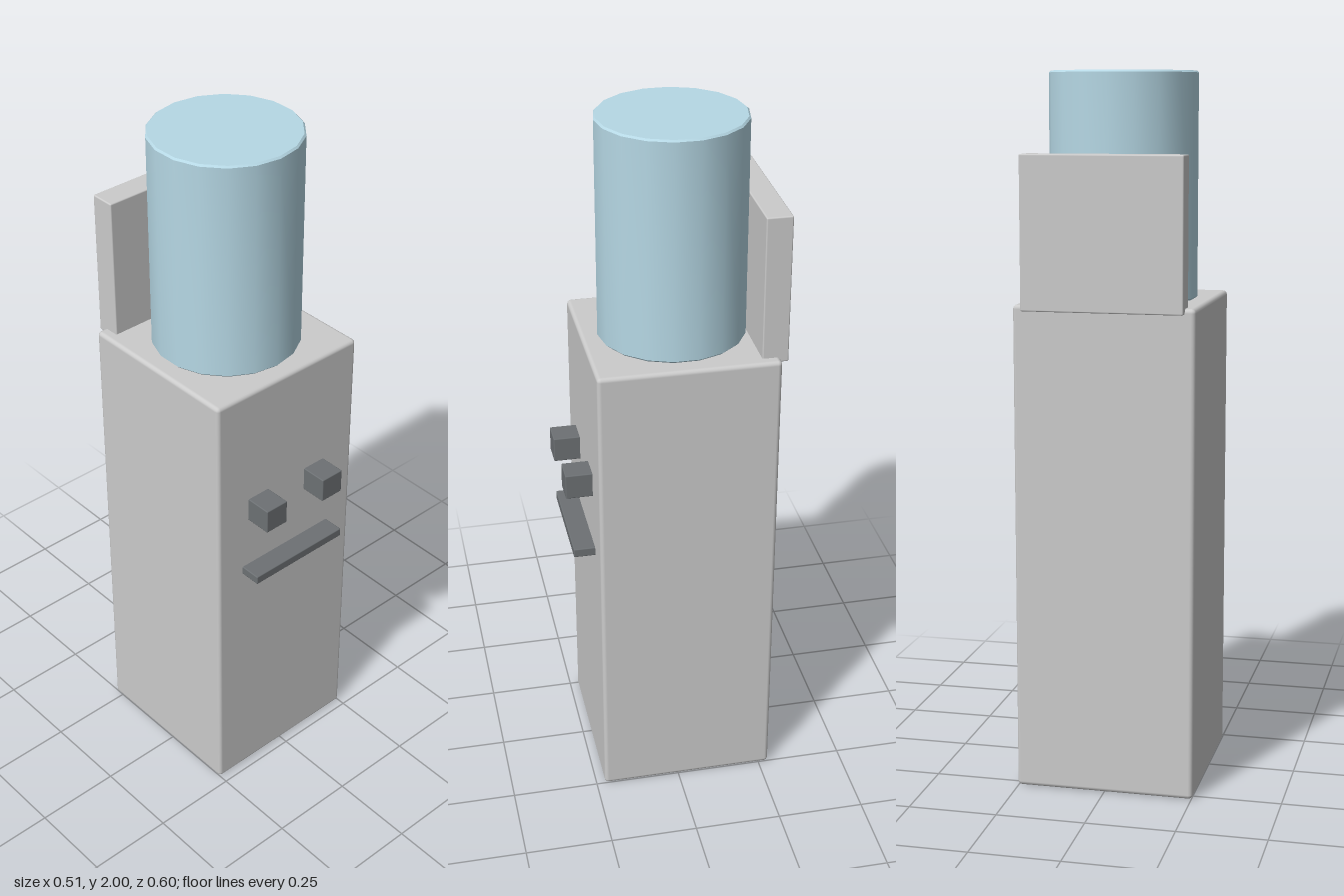
import * as THREE from 'three';
import { RoundedBoxGeometry } from 'three/addons/geometries/RoundedBoxGeometry.js';
import { toCreasedNormals } from 'three/addons/utils/BufferGeometryUtils.js';

const grey = new THREE.MeshStandardMaterial({ color: 0xcccccc });
const blue = new THREE.MeshStandardMaterial({ color: 0xb6d8e5 });
const dark = new THREE.MeshStandardMaterial({ color: 0x6d7174 });

// Box with softened edges, given by its extents on each axis
function softBox(name, [x0, x1], [y0, y1], [z0, z1], bevel, material) {
  const geometry = new RoundedBoxGeometry(x1 - x0, y1 - y0, z1 - z0, 2, bevel);
  const mesh = new THREE.Mesh(geometry, material);
  mesh.position.set((x0 + x1) / 2, (y0 + y1) / 2, (z0 + z1) / 2);
  mesh.name = name;
  return mesh;
}

export function createModel() {
  const model = new THREE.Group();
  model.name = 'blockFigure';

  // Tall body and the upright plate behind the cylinder
  model.add(softBox('body', [-0.253, 0.253], [0, 1.375], [-0.28, 0.225], 0.012, grey));
  model.add(softBox('backPlate', [-0.224, 0.224], [1.36, 1.78], [-0.303, -0.23], 0.004, grey));

  // Cylinder on top, with a narrow bevel at both rims
  const r = 0.207, h = 0.625, b = 0.005;
  const profile = [[0, 0], [r - b, 0], [r, b], [r, h - b], [r - b, h], [0, h]]
    .map(([x, y]) => new THREE.Vector2(x, y));
  const cylinder = new THREE.Mesh(
    toCreasedNormals(new THREE.LatheGeometry(profile, 18), THREE.MathUtils.degToRad(35)), blue);
  cylinder.position.set(0, 1.375, -0.0275);
  cylinder.name = 'topCylinder';
  model.add(cylinder);

  // Face: two block eyes and a bar mouth
  for (const [name, x] of [['leftEye', 0.105], ['rightEye', -0.105]]) {
    model.add(softBox(name, [x - 0.037, x + 0.037], [0.95, 1.023], [0.215, 0.301], 0.003, dark));
  }
  model.add(softBox('mouth', [-0.163, 0.163], [0.766, 0.792], [0.215, 0.286], 0.003, dark));

  return model;
}
